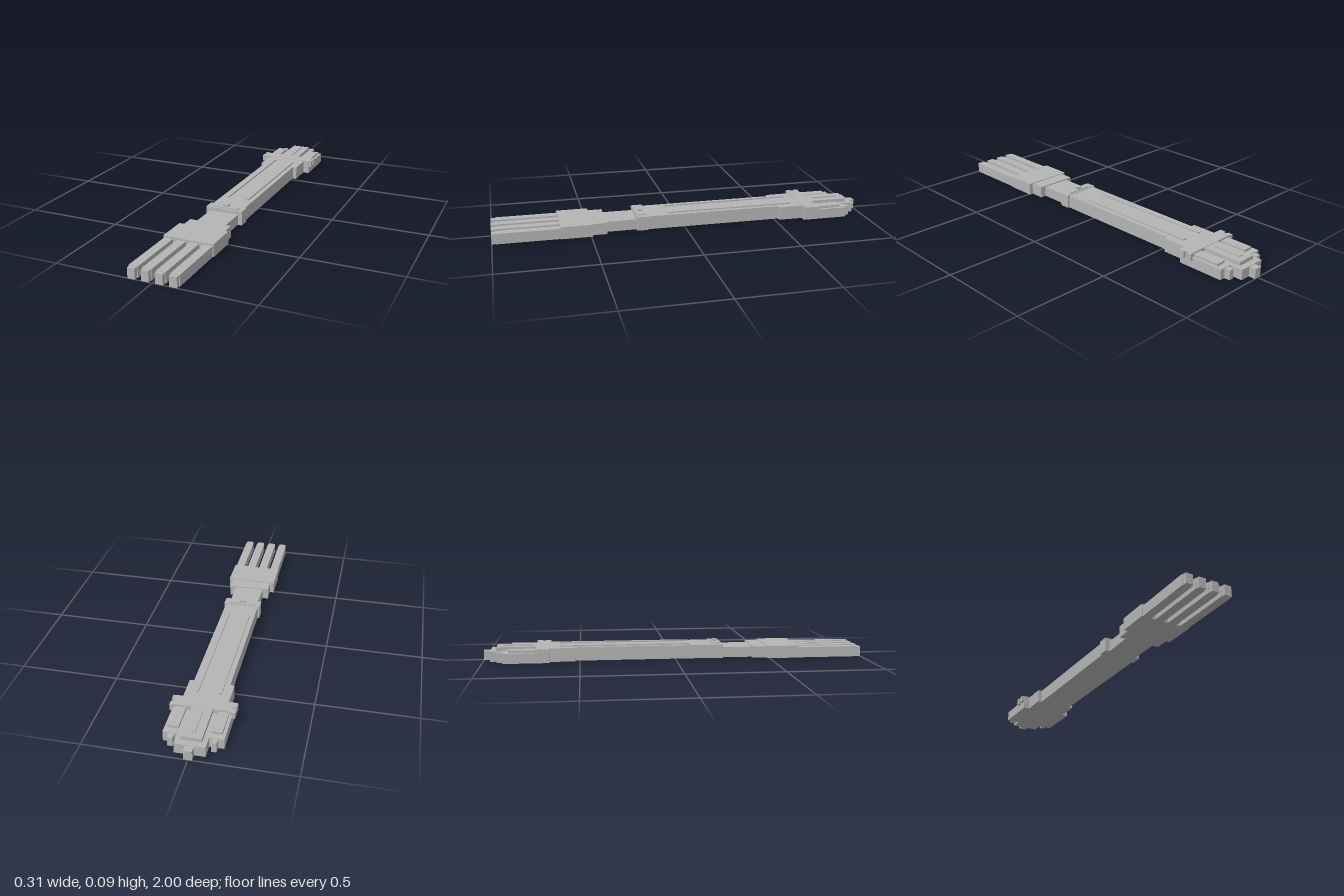
import * as THREE from 'three';

export function createModel() {
  const model = new THREE.Group();
  const metal = new THREE.MeshStandardMaterial({ color: 0xb4b4b4 });
  metal.name = 'plain grey';

  // Block given by its extents along each axis
  function block(name, x0, x1, y0, y1, z0, z1) {
    const mesh = new THREE.Mesh(new THREE.BoxGeometry(x1 - x0, y1 - y0, z1 - z0), metal);
    mesh.position.set((x0 + x1) / 2, (y0 + y1) / 2, (z0 + z1) / 2);
    mesh.name = name;
    model.add(mesh);
  }
  // Block centred on x = 0
  const centred = (name, half, y0, y1, z0, z1) => block(name, -half, half, y0, y1, z0, z1);
  // Mirrored pair of blocks
  function pair(name, x0, x1, y0, y1, z0, z1) {
    block(name + 'Left', x0, x1, y0, y1, z0, z1);
    block(name + 'Right', -x1, -x0, y0, y1, z0, z1);
  }

  // Four tines with slightly narrower tips
  for (const x of [0.035, 0.104]) {
    pair('tine', x - 0.023, x + 0.023, 0, 0.055, 0.655, 0.98);
    pair('tineTip', x - 0.019, x + 0.019, 0, 0.053, 0.98, 1);
  }

  // Fork head, shoulder and neck
  centred('head', 0.132, 0, 0.065, 0.49, 0.655);
  centred('shoulder', 0.111, 0, 0.061, 0.415, 0.49);
  centred('neck', 0.078, 0, 0.055, 0.255, 0.415);

  // Collar with raised plate and stud
  centred('collar', 0.1, 0, 0.074, 0.197, 0.255);
  centred('collarPlate', 0.07, 0.074, 0.079, 0.207, 0.243);
  centred('collarStud', 0.015, 0.079, 0.09, 0.215, 0.233);

  // Handle with two long ribs
  centred('handle', 0.09, 0, 0.071, -0.525, 0.197);
  centred('handleBase', 0.111, 0, 0.071, -0.66, -0.525);
  pair('handleRib', 0.047, 0.065, 0.071, 0.078, -0.605, 0.085);

  // Guard band with double tabs on each side
  centred('guard', 0.143, 0, 0.074, -0.725, -0.655);
  pair('guardTabFront', 0.143, 0.157, 0.04, 0.074, -0.686, -0.657);
  pair('guardTabBack', 0.143, 0.157, 0.04, 0.074, -0.73, -0.702);

  // Stepped end of the handle
  centred('endBlock', 0.143, 0, 0.053, -0.897, -0.725);
  pair('endTab', 0.088, 0.114, 0, 0.05, -0.927, -0.897);
  centred('endCentre', 0.073, 0, 0.053, -0.965, -0.897);
  centred('endNub', 0.02, 0, 0.05, -1, -0.965);

  // Raised panels on the end
  centred('centrePanel', 0.05, 0.053, 0.072, -0.933, -0.725);
  centred('centreRib', 0.01, 0.072, 0.078, -0.9, -0.75);
  pair('sidePanel', 0.076, 0.128, 0.053, 0.066, -0.865, -0.725);

  return model;
}
